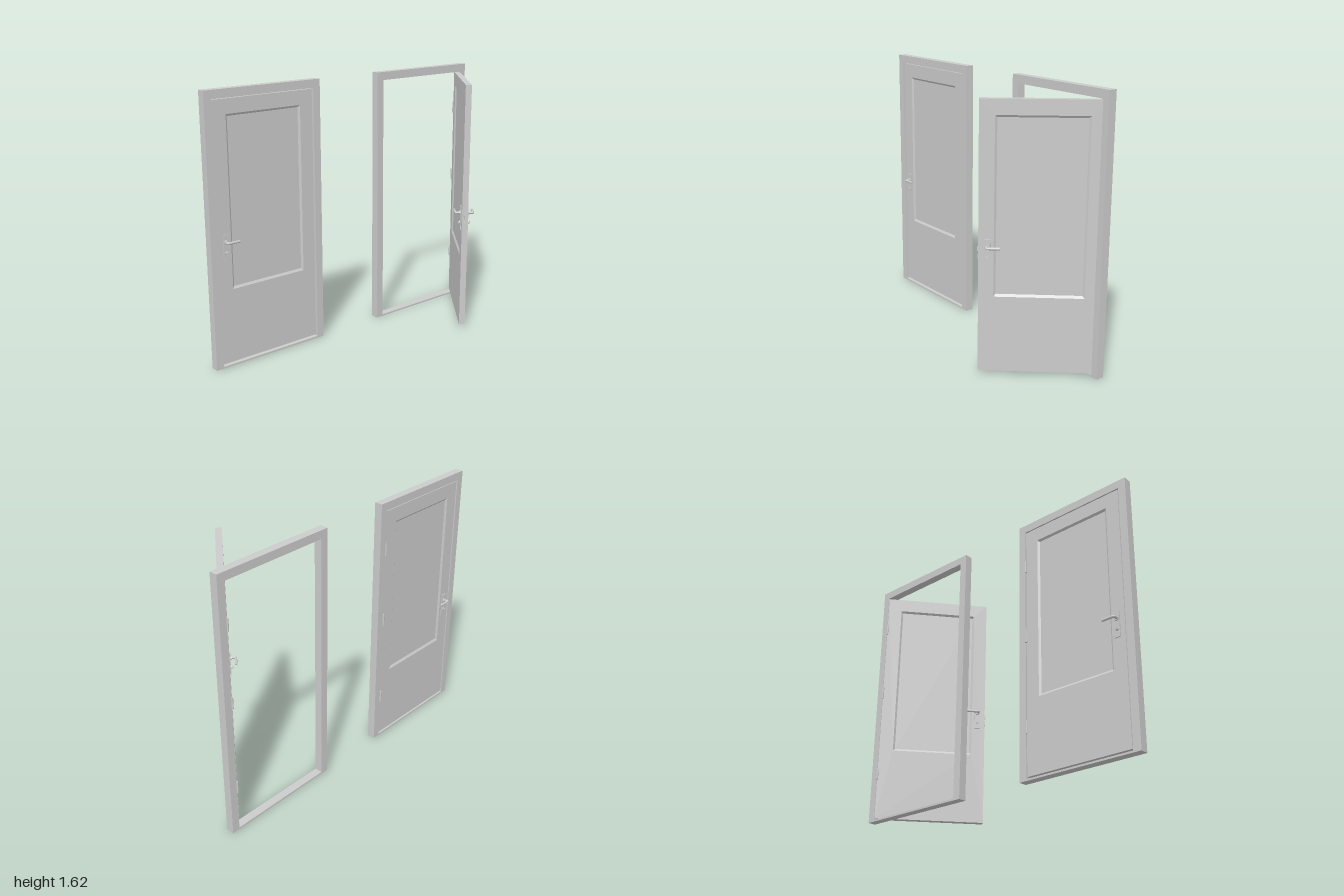
import * as THREE from 'three';

const mat = new THREE.MeshStandardMaterial({ color: 0xcccccc });

function add(parent, name, geometry, x = 0, y = 0, z = 0) {
  const mesh = new THREE.Mesh(geometry, mat);
  mesh.name = name;
  mesh.position.set(x, y, z);
  parent.add(mesh);
  return mesh;
}

// Flat-faced skin over rectangles [x0, x1, y0, y1, z], running front to back.
// closed joins the last rectangle to the first, otherwise both ends are capped.
function loftRects(rects, closed) {
  const rings = rects.map(([x0, x1, y0, y1, z]) =>
    [[x0, y0, z], [x1, y0, z], [x1, y1, z], [x0, y1, z]]);
  const pos = [];
  const quad = (a, b, c, d) => pos.push(...a, ...b, ...c, ...a, ...c, ...d);
  const count = closed ? rings.length : rings.length - 1;
  for (let r = 0; r < count; r++) {
    const a = rings[r], b = rings[(r + 1) % rings.length];
    for (let i = 0; i < 4; i++) {
      const j = (i + 1) % 4;
      quad(b[i], b[j], a[j], a[i]);
    }
  }
  if (!closed) {
    const first = rings[0], last = rings[rings.length - 1];
    quad(...first);
    quad(last[3], last[2], last[1], last[0]);
  }
  const g = new THREE.BufferGeometry();
  g.setAttribute('position', new THREE.Float32BufferAttribute(pos, 3));
  g.computeVertexNormals();
  return g;
}

// Cylinder lying along z
const rod = (r, length) => new THREE.CylinderGeometry(r, r, length, 16).rotateX(Math.PI / 2);

// Handle set, built on the z = 0 face and pointing to +z
function makeHandle() {
  const g = new THREE.Group();
  g.name = 'handle';
  add(g, 'backPlate', new THREE.BoxGeometry(0.035, 0.152, 0.006), 0, 0.722, 0.003);
  add(g, 'handleCollar', rod(0.013, 0.01), 0, 0.755, 0.009);
  const path = new THREE.CurvePath();
  const p = (x, z) => new THREE.Vector3(x, 0.755, z);
  path.add(new THREE.LineCurve3(p(-0.004, 0), p(-0.004, 0.034)));
  path.add(new THREE.QuadraticBezierCurve3(p(-0.004, 0.034), p(-0.004, 0.041), p(0.004, 0.041)));
  path.add(new THREE.LineCurve3(p(0.004, 0.041), p(0.069, 0.041)));
  add(g, 'lever', new THREE.TubeGeometry(path, 40, 0.008, 12, false)).scale.z = 0.9;
  const tip = add(g, 'leverTip', new THREE.SphereGeometry(0.008, 12, 8), 0.069, 0.755, 0.037);
  tip.scale.set(0.4, 1, 0.9);
  add(g, 'lockCylinder', rod(0.01, 0.014), 0, 0.692, 0.007);
  add(g, 'lockTurn', new THREE.BoxGeometry(0.006, 0.016, 0.008), 0, 0.692, 0.016);
  return g;
}

// One framed door; the origin is the hinge line
function makeDoorway(name, x, angle) {
  const g = new THREE.Group();
  g.name = name;
  g.position.set(x, 0, -0.25);

  // Frame: two jambs, head and thin sill
  const outer = [-0.722, 0.053, 0, 1.615], inner = [-0.674, 0.005, 0.011, 1.565];
  add(g, 'frame', loftRects([[...inner, 0.05], [...outer, 0.05], [...outer, 0], [...inner, 0]], true));

  // Door leaf with a sunken, bevelled panel on each face
  const door = new THREE.Group();
  door.name = 'door';
  door.rotation.y = angle;
  g.add(door);
  const panel = [-0.572, -0.097, 0.48, 1.462];
  const rim = [-0.584, -0.085, 0.466, 1.474];
  const edge = [-0.668, 0.001, 0.021, 1.56];
  const back = 0.003, front = 0.04, sink = 0.009;
  add(door, 'doorLeaf', loftRects([
    [...panel, front - sink], [...rim, front], [...edge, front],
    [...edge, back], [...rim, back], [...panel, back + sink],
  ], false));

  // Handles on both faces, mirrored
  const handleX = -0.62;
  const frontHandle = makeHandle();
  frontHandle.position.set(handleX, 0, front);
  const backHandle = makeHandle();
  backHandle.position.set(handleX, 0, back);
  backHandle.scale.z = -1;
  door.add(frontHandle, backHandle);

  // Lock on the free edge
  const mid = (front + back) / 2;
  add(door, 'lockFacePlate', new THREE.BoxGeometry(0.002, 0.14, 0.016), -0.668, 0.722, mid);
  add(door, 'latch', new THREE.BoxGeometry(0.01, 0.022, 0.01), -0.669, 0.735, mid);
  add(door, 'deadbolt', new THREE.BoxGeometry(0.008, 0.026, 0.01), -0.669, 0.69, mid);

  // Hinges
  for (const y of [0.303, 0.858, 1.323]) {
    add(g, 'hingeBarrel', new THREE.CylinderGeometry(0.006, 0.006, 0.075, 12), 0.002, y, 0);
    add(g, 'hingeFrameLeaf', new THREE.BoxGeometry(0.002, 0.075, 0.03), 0.004, y, 0.015);
    add(door, 'hingeDoorLeaf', new THREE.BoxGeometry(0.002, 0.075, 0.03), 0.001, y, 0.018);
  }
  return g;
}

export function createModel() {
  const model = new THREE.Group();
  model.name = 'doors';
  model.add(makeDoorway('closedDoorway', -0.278, 0));
  model.add(makeDoorway('openDoorway', 0.945, THREE.MathUtils.degToRad(50)));
  return model;
}
